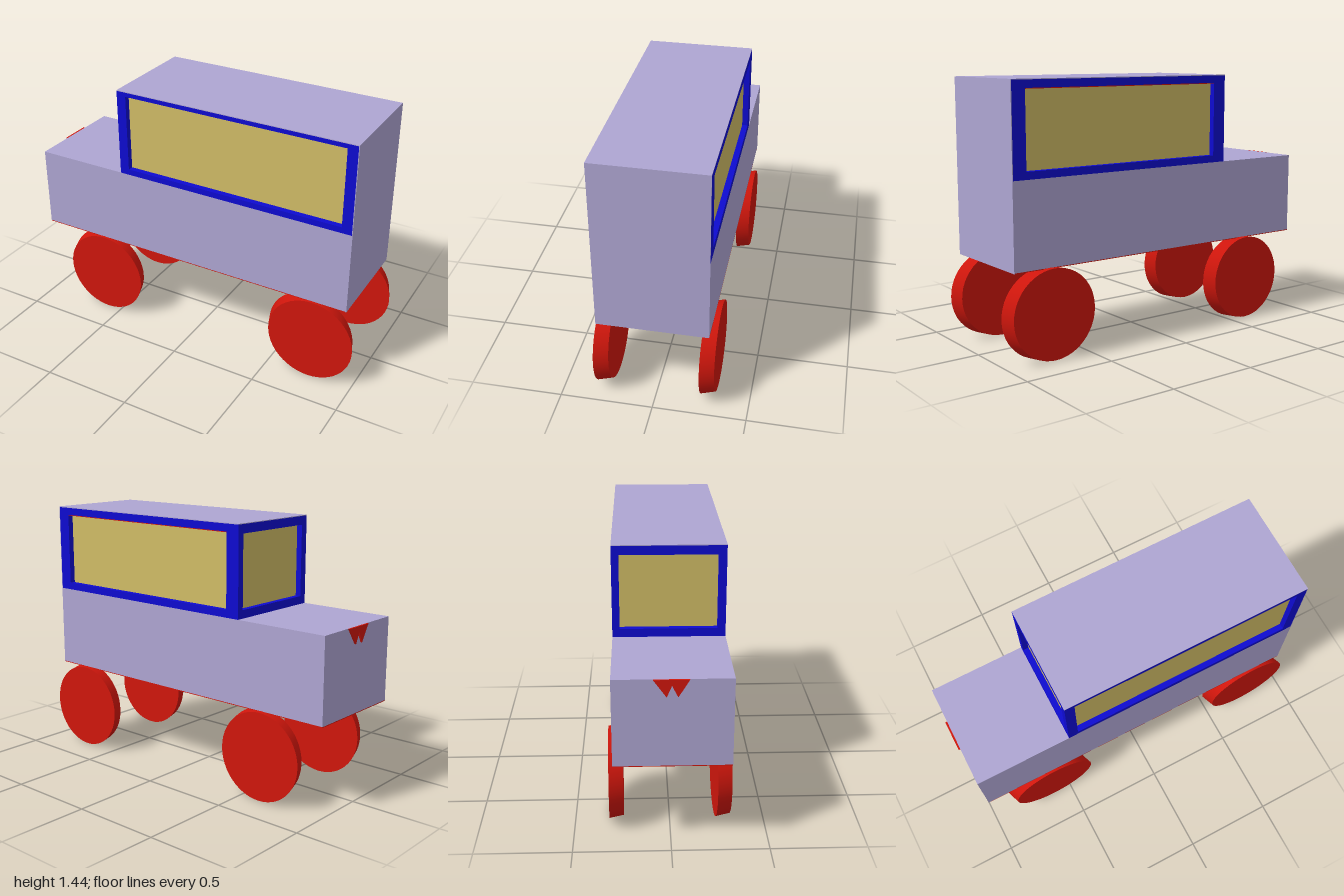
import * as THREE from 'three';

const mat = (color) => new THREE.MeshStandardMaterial({ color });

export function createModel() {
  const car = new THREE.Group();
  car.name = 'toyCar';
  const lilac = mat(0xaea5d2), red = mat(0xd0160c), blue = mat(0x0e0bd0), gold = mat(0xd0bc66);

  function add(name, geometry, material, parent = car) {
    const mesh = new THREE.Mesh(geometry, material);
    mesh.name = name;
    parent.add(mesh);
    return mesh;
  }
  // Box given by its minimum and maximum corners
  function block(name, [x0, y0, z0], [x1, y1, z1], material, parent) {
    const g = new THREE.BoxGeometry(x1 - x0, y1 - y0, z1 - z0);
    g.translate((x0 + x1) / 2, (y0 + y1) / 2, (z0 + z1) / 2);
    return add(name, g, material, parent);
  }

  // Overall extents; skin is the thickness of the thin outer panels
  const nose = -0.99, cabFront = -0.45, tail = 0.94;
  const floor = 0.48, waist = 0.945, roof = 1.44;
  const zBack = -0.29, zFront = 0.3, skin = 0.004, depth = 0.036;

  // Body and outer panels
  block('lowerBody', [nose, floor + skin, zBack], [tail - skin, waist, zFront], lilac);
  block('underside', [nose, floor, zBack], [tail - skin, floor + skin, zFront], red);
  block('roof', [cabFront, roof - skin, zBack], [tail, roof, zFront], lilac);
  block('tailPanel', [tail - skin, floor, zBack], [tail, roof - skin, zFront], lilac);

  // Frame with an opening and a recessed pane; outer and hole are [x0, y0, x1, y1]
  function windowUnit(name, outer, hole, paneZ) {
    const unit = new THREE.Group();
    unit.name = name;
    const rect = ([x0, y0, x1, y1]) => [[x0, y0], [x1, y0], [x1, y1], [x0, y1]].map((p) => new THREE.Vector2(...p));
    const shape = new THREE.Shape(rect(outer));
    shape.holes.push(new THREE.Path(rect(hole).reverse()));
    add('windowFrame', new THREE.ExtrudeGeometry(shape, { depth, bevelEnabled: false }), blue, unit);
    block('windowPane', [hole[0], hole[1], paneZ - 0.002], [hole[2], hole[3], paneZ + 0.002], gold, unit);
    car.add(unit);
    return unit;
  }
  const top = roof - skin;
  const side = [cabFront, waist, tail - skin, top];
  windowUnit('frontSideWindow', side, [-0.395, 0.978, 0.88, 1.412], 0.002).position.z = zFront - depth;
  windowUnit('backSideWindow', side, [-0.37, 0.985, 0.86, 1.395], depth - 0.002).position.z = zBack;
  block('backWindowLintel', [-0.37, 1.391, zBack + 0.001], [0.86, 1.395, zBack + depth], red);
  const windscreen = windowUnit('windscreen', [zBack + depth, waist, zFront - depth, top],
    [-0.252, 0.99, 0.258, 1.388], 0.002);
  windscreen.rotation.y = -Math.PI / 2;
  windscreen.position.x = cabFront + depth;

  // Slightly skewed wheels
  const wheelGeometry = new THREE.CylinderGeometry(0.2425, 0.2425, 0.075, 48);
  wheelGeometry.rotateX(Math.PI / 2);
  wheelGeometry.applyMatrix4(new THREE.Matrix4().set(
    1.015, 0, 0.38, 0,
    0, 1, 0, 0,
    -0.014, 0, 1, 0,
    0, 0, 0, 1));
  for (const [end, x] of [['front', -0.604], ['rear', 0.734]]) {
    for (const [flank, z] of [['Left', -0.281], ['Right', 0.277]]) {
      add(end + flank + 'Wheel', wheelGeometry, red).position.set(x, 0.2425, z);
    }
  }

  // Two-toothed ornament at the top of the nose
  const teeth = new THREE.Shape([
    [-0.09, 0.945], [-0.025, 0.855], [0, 0.915], [0.03, 0.855], [0.085, 0.945],
  ].map((p) => new THREE.Vector2(...p)));
  const ornament = add('noseOrnament', new THREE.ExtrudeGeometry(teeth, { depth: 0.01, bevelEnabled: false }), red);
  ornament.rotation.y = -Math.PI / 2;
  ornament.position.x = nose;

  return car;
}
